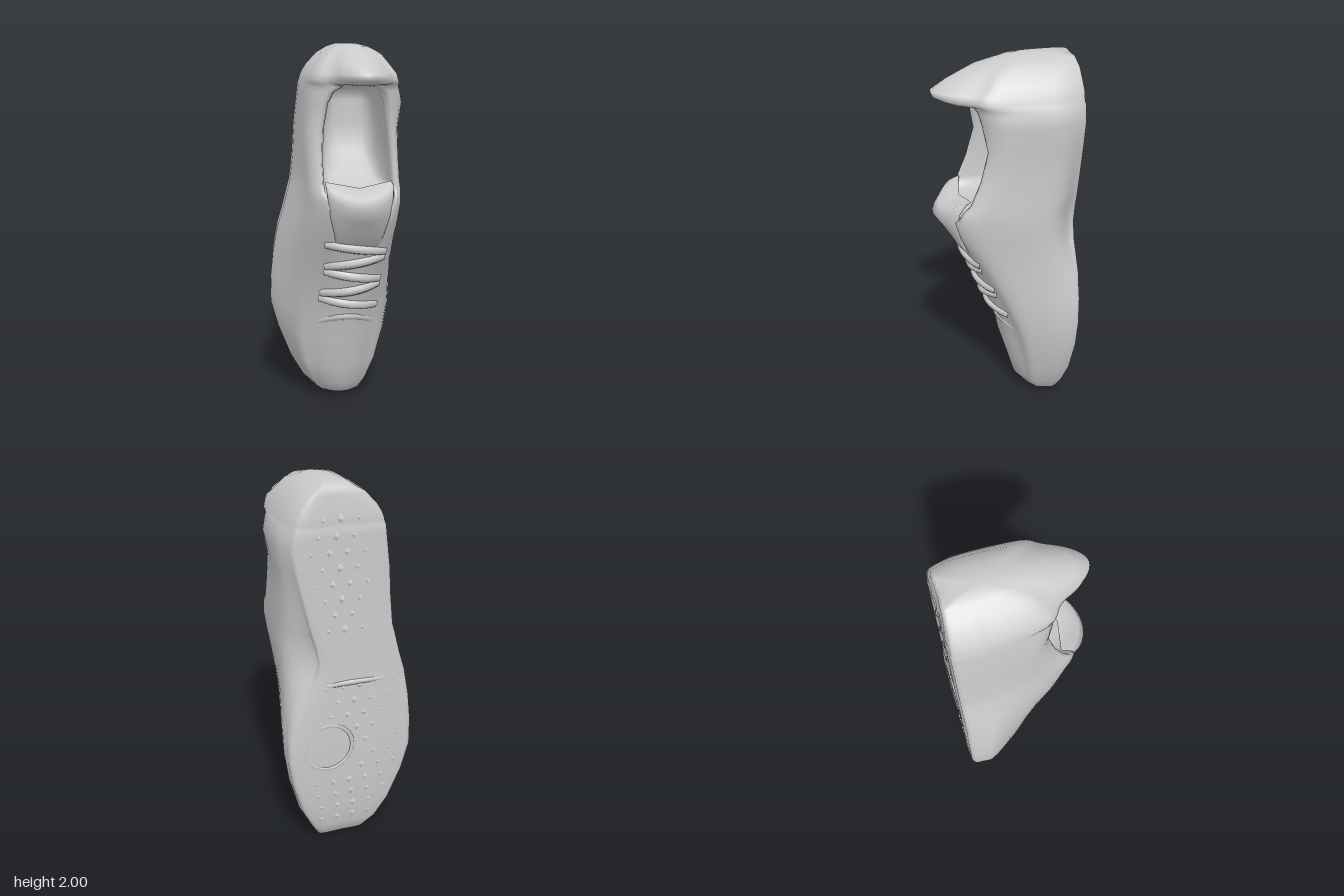
import * as THREE from 'three';

const mat = new THREE.MeshStandardMaterial({ color: 0xcccccc });
const { lerp, smoothstep } = THREE.MathUtils;

// Skin a stack of equal-length rings (listed upwards in y) and cap both ends.
function loft(rings) {
  const n = rings[0].length, pos = [], idx = [];
  rings.forEach(r => r.forEach(p => pos.push(p.x, p.y, p.z)));
  for (let i = 0; i < rings.length - 1; i++) {
    for (let j = 0; j < n; j++) {
      const a = i * n + j, b = i * n + (j + 1) % n;
      idx.push(a, a + n, b + n, a, b + n, b);
    }
  }
  [0, rings.length - 1].forEach((row, top) => {
    const c = new THREE.Vector3();
    rings[row].forEach(p => c.addScaledVector(p, 1 / n));
    const k = pos.length / 3;
    pos.push(c.x, c.y, c.z);
    for (let j = 0; j < n; j++) {
      const a = row * n + j, b = row * n + (j + 1) % n;
      idx.push(k, top ? b : a, top ? a : b);
    }
  });
  const g = new THREE.BufferGeometry();
  g.setAttribute('position', new THREE.Float32BufferAttribute(pos, 3));
  g.setIndex(idx);
  g.computeVertexNormals();
  return g;
}

// Cross-sections from toe to heel:
// y, outer x, inner x, inner sole x, sole z, shoulder z, middle z, shoulder x (outer, inner)
const toeRows = [
  [0.00, -0.06, 0.12, 0.11, -0.26, -0.22, -0.20, -0.01, 0.08],
  [0.03, -0.10, 0.16, 0.15, -0.30, -0.17, -0.13, -0.05, 0.12],
  [0.10, -0.17, 0.20, 0.19, -0.325, -0.125, -0.07, -0.10, 0.15],
  [0.22, -0.24, 0.26, 0.25, -0.345, -0.10, -0.035, -0.14, 0.18],
  [0.40, -0.31, 0.31, 0.305, -0.36, -0.06, 0.02, -0.15, 0.20],
  [0.55, -0.35, 0.33, 0.328, -0.365, -0.01, 0.05, -0.12, 0.20],
  [0.70, -0.35, 0.33, 0.325, -0.365, 0.055, 0.115, -0.09, 0.20],
  [0.85, -0.335, 0.315, 0.28, -0.365, 0.125, 0.17, -0.08, 0.21],
  [1.00, -0.31, 0.31, 0.20, -0.36, 0.20, 0.235, -0.09, 0.23],
  [1.10, -0.28, 0.315, 0.17, -0.36, 0.25, 0.275, -0.08, 0.24],
];
const heelRows = [
  [1.20, -0.255, 0.32, 0.19, -0.36, 0.28, 0.30, -0.09, 0.25],
  [1.26, -0.238, 0.32, 0.21, -0.36, 0.25, 0.08, -0.11, 0.26],
  [1.30, -0.233, 0.32, 0.22, -0.36, 0.21, -0.10, -0.11, 0.26],
  [1.42, -0.22, 0.32, 0.25, -0.36, 0.16, -0.18, -0.11, 0.26],
  [1.57, -0.21, 0.325, 0.285, -0.36, 0.12, -0.18, -0.10, 0.25],
  [1.70, -0.195, 0.348, 0.31, -0.36, 0.145, -0.18, -0.08, 0.23],
  [1.76, -0.188, 0.335, 0.30, -0.36, 0.16, -0.17, -0.05, 0.21],
  [1.785, -0.185, 0.327, 0.295, -0.36, 0.18, -0.10, -0.01, 0.19],
  [1.80, -0.18, 0.32, 0.29, -0.355, 0.18, 0.32, -0.05, 0.25],
  [1.82, -0.175, 0.31, 0.285, -0.355, 0.19, 0.36, -0.06, 0.25],
  [1.85, -0.163, 0.30, 0.275, -0.355, 0.18, 0.37, -0.06, 0.25],
  [1.89, -0.137, 0.275, 0.255, -0.35, 0.14, 0.30, -0.05, 0.22],
  [1.95, -0.08, 0.23, 0.21, -0.345, 0.09, 0.17, -0.02, 0.18],
  [1.985, -0.02, 0.17, 0.16, -0.335, 0.00, 0.03, 0.02, 0.13],
  [2.00, 0.02, 0.11, 0.11, -0.26, -0.08, -0.05, 0.04, 0.09],
];
const rows = [...toeRows, ...heelRows];

function section([y, xl, xr, xs, zb, zc, zt, hl, hr]) {
  const c = (xl + xr) / 2, m = (hl + hr) / 2, h = zc - zb;
  // Past the shoulder: a steep wall into the opening, or a closed dome
  const inner = zt < zc ? [[0.1, 0.5], [0.35, 0.95]] : [[0.33, 0.55], [0.66, 0.88]];
  // One half from the sole edge over the side wall and rim to the middle
  const half = (x, sole, rim, lean) => [
    [lerp(c, sole, 0.92), zb],
    [sole, zb + 0.05 * h],
    [lerp(sole, x, 0.75), zb + 0.18 * h],
    [x, zb + 0.31 * h],
    [lerp(x, rim, lean), zb + 0.68 * h],
    [lerp(x, rim, lean + 0.27), zb + 0.9 * h],
    [rim, zc],
    ...inner.map(([s, t]) => [lerp(rim, m, s), lerp(zc, zt, t)]),
  ];
  // The walls lean in over the toes and stand upright around the heel
  const pts = [[c, zb], ...half(xr, xs, hr, lerp(0.26, 0.07, smoothstep(y, 0.7, 1.4))), [m, zt],
    ...half(xl, lerp(xl, c, 0.02), hl, lerp(0.36, 0.12, smoothstep(y, 1.2, 1.6))).reverse()];
  const curve = new THREE.CatmullRomCurve3(
    pts.map(([x, z]) => new THREE.Vector3(x, y, z)), true, 'centripetal');
  return curve.getPoints(60).slice(0, 60);
}

// Section measures at any height, used to place the tread and laces
function rowAt(y) {
  const i = Math.max(1, rows.findIndex(r => r[0] >= y));
  const t = (y - rows[i - 1][0]) / (rows[i][0] - rows[i - 1][0]);
  return rows[i].map((v, k) => lerp(rows[i - 1][k], v, t));
}

export function createModel() {
  const shoe = new THREE.Group();
  shoe.name = 'shoe';
  const add = (geo, name, parent = shoe) => {
    const m = new THREE.Mesh(geo, mat);
    m.name = name;
    parent.add(m);
    return m;
  };

  // Upper, collar, heel tab and sole in one skin
  add(loft(rows.map(section)), 'shoeBody');

  // Tongue: y, z, half width, half thickness; the free end has raised corners
  const tongue = [
    [0.94, 0.17, 0.11, 0.03], [1.04, 0.24, 0.13, 0.035], [1.12, 0.285, 0.155, 0.04],
    [1.19, 0.325, 0.17, 0.05], [1.235, 0.30, 0.175, 0.045], [1.25, 0.265, 0.17, 0.025],
  ].map(([y, z, w, t]) => Array.from({ length: 24 }, (_, j) => {
    const a = j / 24 * Math.PI * 2, u = Math.sin(a);
    const lift = smoothstep(y, 1.05, 1.24);
    return new THREE.Vector3(0.075 + w * u, y + 0.06 * lift * u * u,
      z - t * Math.cos(a) - 0.06 * lift * u * u);
  }));
  add(loft(tongue), 'tongue');

  // Laces follow the upper and sink into it at both ends
  const laces = new THREE.Group();
  laces.name = 'laces';
  shoe.add(laces);
  const strap = (name, radius, rise, heightAt) => {
    const path = [-1, -0.6, -0.2, 0.2, 0.6, 1].map(u => {
      const y = heightAt(u), [, , , , , zc, zt, hl, hr] = rowAt(y);
      return new THREE.Vector3(lerp(hl, hr, (u + 1) / 2), y,
        lerp(zt, zc, Math.abs(u) ** 1.5) + rise - 0.02 * u ** 4);
    });
    add(new THREE.TubeGeometry(new THREE.CatmullRomCurve3(path), 16, radius, 8), name, laces);
  };
  for (let i = 0; i < 5; i++) {
    strap('lace', 0.027, 0.002, u => 0.62 + i * 0.084 + u * (i % 2 ? 0.025 : -0.025));
  }
  strap('laceGuard', 0.026, -0.014, u => 0.54 - 0.06 * u * u);

  // Tread: shallow lugs in staggered rows, plus a round pivot under the ball
  const tread = new THREE.Group();
  tread.name = 'tread';
  shoe.add(tread);
  const pivot = [0.12, 0.62];
  const lug = new THREE.ConeGeometry(0.028, 0.012, 4).rotateX(-Math.PI / 2);
  for (let i = 0; i < 22; i++) {
    const y = 0.16 + i * 0.08;
    if (y > 0.98 && y < 1.22) continue;
    const [, xl, , xs, zb] = rowAt(y);
    for (let x = xl + 0.09 + (i % 2) * 0.045; x < xs - 0.06; x += 0.09) {
      if (Math.hypot(x - pivot[0], y - pivot[1]) < 0.17) continue;
      add(lug, 'treadLug', tread).position.set(x, y, zb - 0.004);
    }
  }
  const ring = add(new THREE.TorusGeometry(0.13, 0.014, 6, 20), 'pivotRing', tread);
  ring.position.set(pivot[0], pivot[1], -0.361);
  ring.scale.z = 0.8;
  // Ridge across the arch
  const ridge = add(new THREE.CapsuleGeometry(0.018, 0.36, 3, 8).rotateZ(Math.PI / 2), 'archRidge', tread);
  ridge.position.set(-0.05, 0.98, -0.352);
  return shoe;
}
